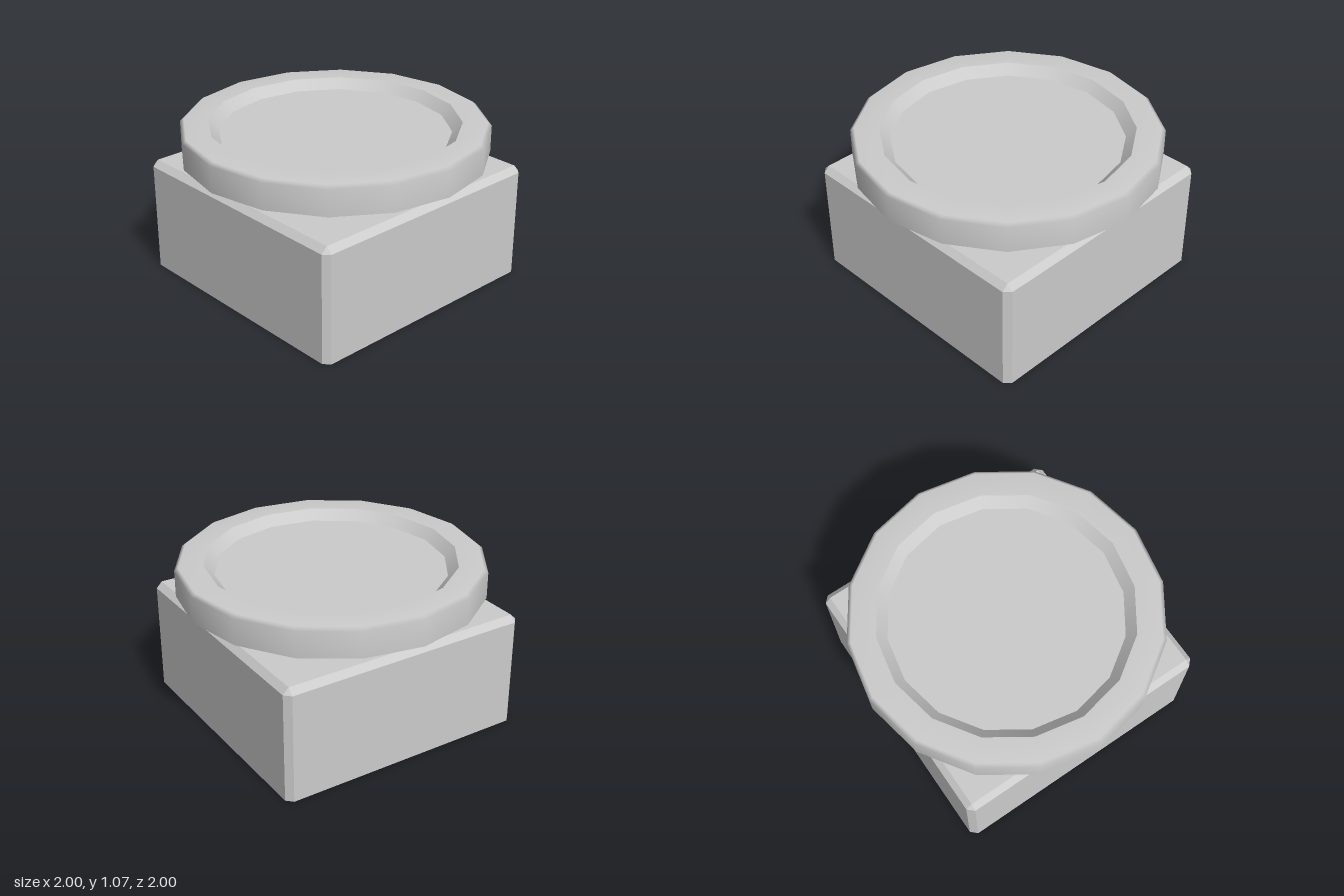
import * as THREE from 'three';

const SIDES = 16;
const HALF = 0.86, BEVEL = 0.04, BASE_TOP = 0.77;
const NECK_R = 0.69, DISH_Y = 0.87, FLOOR_Y = 1.0, RIM_Y = 1.065;

const solid = new THREE.MeshStandardMaterial({ color: 0xcccccc });
const shell = new THREE.MeshStandardMaterial({ color: 0xcccccc, side: THREE.DoubleSide });
const shellFlat = new THREE.MeshStandardMaterial({ color: 0xcccccc, side: THREE.DoubleSide, flatShading: true });

function part(name, geometry, material) {
  const mesh = new THREE.Mesh(geometry, material);
  mesh.name = name;
  return mesh;
}

// Smooth turned surface; the profile runs counter-clockwise (outward, up, inward)
function turned(name, profile, material = solid) {
  const points = profile.map(([r, y]) => new THREE.Vector2(r, y));
  return part(name, new THREE.LatheGeometry(points, SIDES), material);
}

// Ring of eight corners: a square of half-size h with its corners cut by c
function corneredSquare(h, c, y) {
  const ring = [];
  for (let i = 0; i < 4; i++) {
    const axis = new THREE.Vector3(0, 1, 0);
    for (const z of [h - c, c - h]) {
      ring.push(new THREE.Vector3(h, y, z).applyAxisAngle(axis, (i * Math.PI) / 2));
    }
  }
  return ring;
}

// Bevelled walls lofted through the rings, open at the bottom
function baseWalls() {
  const rings = [
    corneredSquare(HALF, BEVEL, 0),
    corneredSquare(HALF, BEVEL, BASE_TOP - BEVEL),
    corneredSquare(HALF - BEVEL, 0, BASE_TOP),
  ];
  const corners = [];
  for (let r = 0; r < 2; r++) {
    for (let i = 0; i < 8; i++) {
      const j = (i + 1) % 8;
      const a = rings[r][i], b = rings[r][j], c = rings[r + 1][j], d = rings[r + 1][i];
      corners.push(a, b, d);
      // the top ring's corner pairs coincide, leaving a single triangle there
      if (c.distanceTo(d) > 1e-6) corners.push(b, c, d);
    }
  }
  const geometry = new THREE.BufferGeometry().setFromPoints(corners);
  geometry.computeVertexNormals();
  return geometry;
}

// Square top plate with a round opening into the neck
function baseTop() {
  const h = HALF - BEVEL;
  const shape = new THREE.Shape([
    new THREE.Vector2(-h, -h), new THREE.Vector2(h, -h),
    new THREE.Vector2(h, h), new THREE.Vector2(-h, h),
  ]);
  const hole = [];
  for (let i = 0; i < SIDES; i++) {
    const a = (-i / SIDES) * Math.PI * 2;
    hole.push(new THREE.Vector2(Math.cos(a) * NECK_R, Math.sin(a) * NECK_R));
  }
  shape.holes.push(new THREE.Path(hole));
  return new THREE.ShapeGeometry(shape).rotateX(-Math.PI / 2).translate(0, BASE_TOP, 0);
}

export function createModel() {
  const model = new THREE.Group();
  model.name = 'dishOnPedestal';

  // Hollow square pedestal
  const base = new THREE.Group();
  base.name = 'base';
  base.add(part('baseWalls', baseWalls(), shellFlat), part('baseTop', baseTop(), shellFlat));

  // Round neck, open into the base
  const neck = turned('neck', [[NECK_R, BASE_TOP], [NECK_R, DISH_Y]], shell);

  // Wide dish with a softened rim and a shallow recess
  const dish = new THREE.Group();
  dish.name = 'dish';
  dish.add(
    turned('dishUnderside', [[0, DISH_Y], [1, DISH_Y]]),
    turned('dishRim', [[1, DISH_Y], [1, 1.045], [0.975, RIM_Y], [0.815, RIM_Y]]),
    turned('recessWall', [[0.815, RIM_Y], [0.75, FLOOR_Y]]),
    turned('recessFloor', [[0.75, FLOOR_Y], [0, FLOOR_Y]]),
  );

  model.add(base, neck, dish);
  return model;
}
